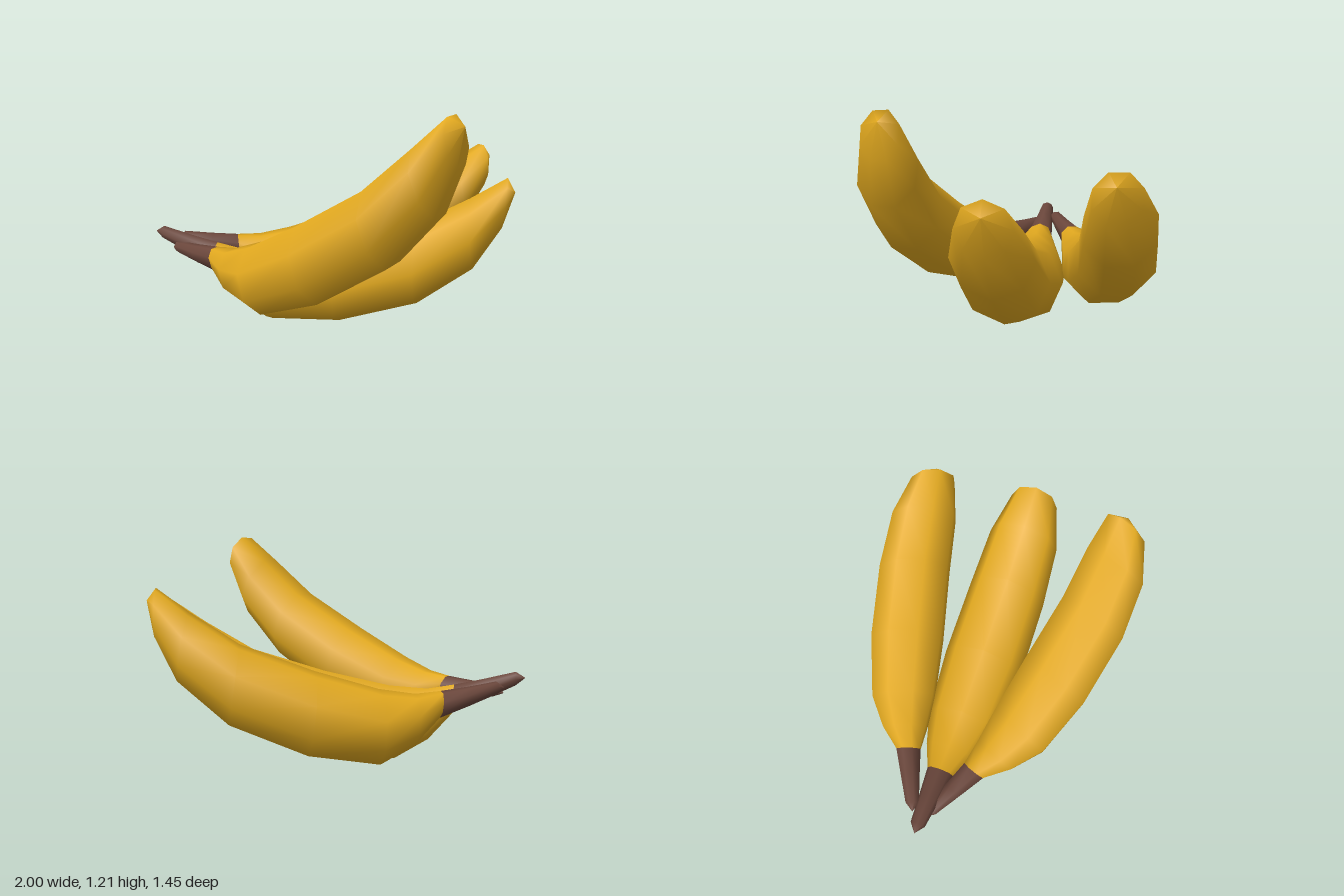
import * as THREE from 'three';

const SIDES = 8;

// Cross-sections along the fruit: x, y, half height, half width, tilt in degrees
const RINGS = [
  [-1.0, 0.48, 0, 0, 0],
  [-0.95, 0.474, 0.037, 0.04, 0],
  [-0.79, 0.412, 0.056, 0.057, 0],
  [-0.63, 0.355, 0.075, 0.075, 0],
  [-0.49, 0.262, 0.14, 0.14, -2],
  [-0.295, 0.207, 0.205, 0.202, -4],
  [0.08, 0.25, 0.23, 0.235, 0],
  [0.5, 0.37, 0.22, 0.228, 2],
  [0.785, 0.55, 0.19, 0.203, 4],
  [0.95, 0.722, 0.133, 0.135, -4],
  [1.0, 0.78, 0, 0, 0],
];
const NECK = 3; // ring where the stem meets the peel

const NECK_POINT = new THREE.Vector3(-0.63, 0.355, 0);
const TIP_POINT = new THREE.Vector3(1.0, 0.78, 0);

// Skin a run of rings; a ring of zero size closes the end in a point
function skin(rings) {
  const pos = [], index = [];
  for (const [x, y, h, w, deg] of rings) {
    const tilt = THREE.MathUtils.degToRad(deg);
    for (let j = 0; j < SIDES; j++) {
      const a = (j / SIDES) * Math.PI * 2, up = Math.cos(a) * h;
      pos.push(x - Math.sin(tilt) * up, y + Math.cos(tilt) * up, Math.sin(a) * w);
    }
  }
  for (let i = 0; i < rings.length - 1; i++) {
    for (let j = 0; j < SIDES; j++) {
      const k = (j + 1) % SIDES, p = i * SIDES, q = p + SIDES;
      if (rings[i][2] > 0) index.push(p + j, p + k, q + j);
      if (rings[i + 1][2] > 0) index.push(p + k, q + k, q + j);
      else index.push(p + k, q + k, p + k);
    }
  }
  const geo = new THREE.BufferGeometry();
  geo.setAttribute('position', new THREE.Float32BufferAttribute(pos, 3));
  geo.setIndex(index);
  geo.computeVertexNormals();
  return geo;
}

// Frame with x along the fruit's chord and y opposite its bulge
function frame(neck, tip, bulge) {
  const x = tip.clone().sub(neck);
  const length = x.length();
  x.normalize();
  const y = bulge.clone().negate();
  y.addScaledVector(x, -y.dot(x)).normalize();
  const z = x.clone().cross(y);
  return new THREE.Matrix4().makeBasis(x, y, z)
    .scale(new THREE.Vector3(length, length, length))
    .setPosition(neck);
}

export function createModel() {
  const group = new THREE.Group();
  group.name = 'bananaBunch';
  const peelMat = new THREE.MeshStandardMaterial({ color: 0xe2a91f });
  peelMat.name = 'yellowPeel';
  const stemMat = new THREE.MeshStandardMaterial({ color: 0x6b473c });
  stemMat.name = 'brownStem';

  const V = (x, y, z) => new THREE.Vector3(x, y, z);
  const restInverse = frame(NECK_POINT, TIP_POINT, V(0, -1, 0)).invert();

  // Each fruit: name, neck, tip, direction of the bulge
  const fruits = [
    ['middleBanana', NECK_POINT, TIP_POINT, V(0, -1, 0)],
    ['frontBanana', V(-0.565, 0.38, 0.175), V(0.755, 1.157, 0.53), V(0.35, -0.81, 0.464)],
    ['backBanana', V(-0.572, 0.365, -0.21), V(0.858, 0.902, -0.555), V(0.19, -0.885, -0.427)],
  ];
  for (const [name, neck, tip, bulge] of fruits) {
    const fruit = new THREE.Group();
    fruit.name = name;
    const place = frame(neck, tip, bulge).multiply(restInverse);
    const stem = new THREE.Mesh(skin(RINGS.slice(0, NECK + 1)).applyMatrix4(place), stemMat);
    stem.name = 'stem';
    const peel = new THREE.Mesh(skin(RINGS.slice(NECK)).applyMatrix4(place), peelMat);
    peel.name = 'peel';
    fruit.add(stem, peel);
    group.add(fruit);
  }
  return group;
}
